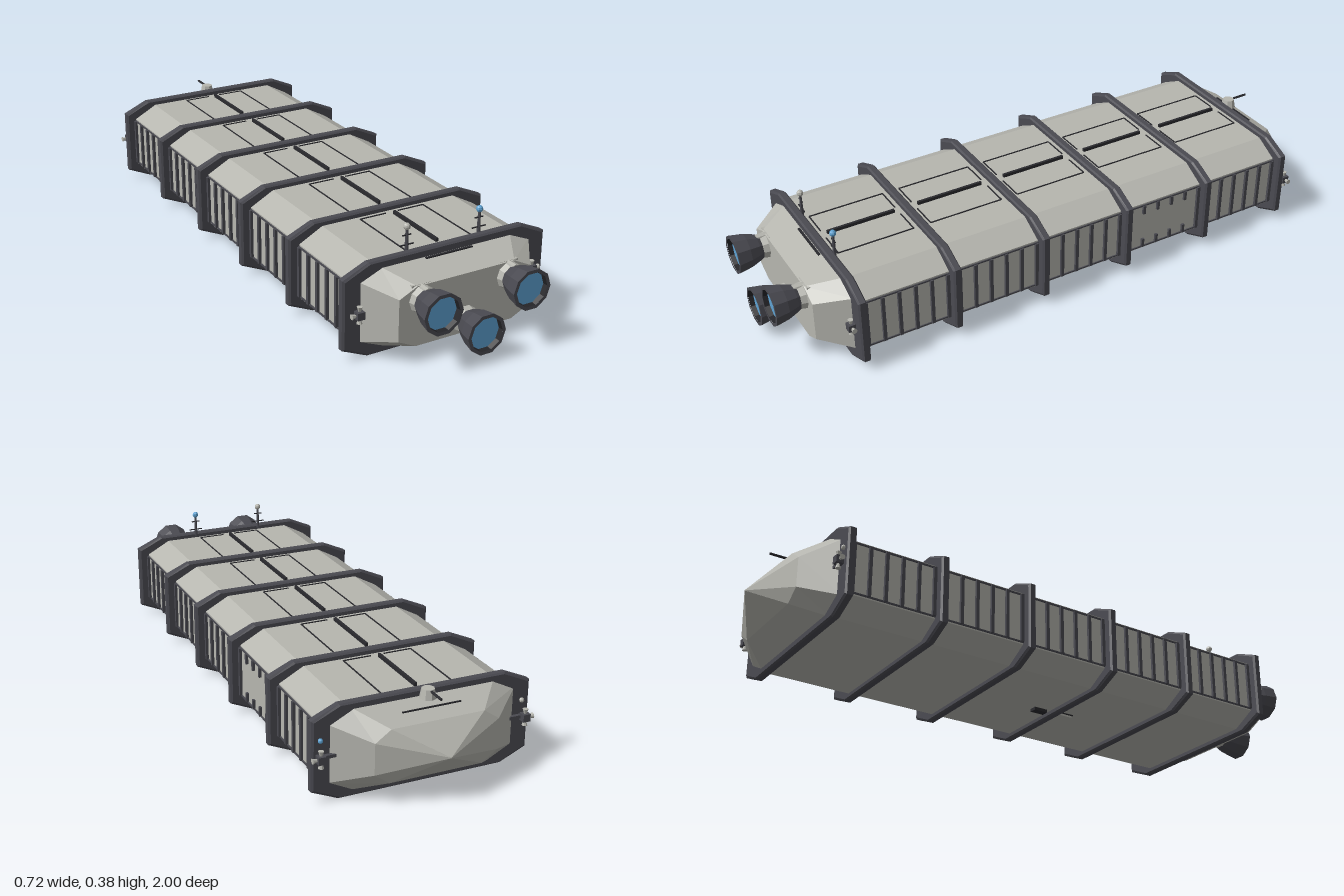
import * as THREE from 'three';

const mat = (name, color, extra = {}) => {
  const m = new THREE.MeshStandardMaterial({ color, flatShading: true, ...extra });
  m.name = name;
  return m;
};

export function createModel() {
  const root = new THREE.Group();
  root.name = 'cargoSpacecraft';
  const hullGrey = mat('hull grey', 0xb6b6af);
  const frameDark = mat('frame dark', 0x4a4a51);
  const lineBlack = mat('line black', 0x2a2a2e);
  const bellInside = mat('bell inside', 0x242428, { side: THREE.DoubleSide });
  const glowBlue = mat('glow blue', 0x5ea2d2);

  const add = (name, geo, material, x = 0, y = 0, z = 0, parent = root) => {
    const m = new THREE.Mesh(geo, material);
    m.name = name;
    m.position.set(x, y, z);
    parent.add(m);
    return m;
  };
  const box = (name, material, w, h, d, x, y, z, parent) =>
    add(name, new THREE.BoxGeometry(w, h, d), material, x, y, z, parent);

  // Chamfered cross-section: half width, half roof width, half height, half side height
  const section = (z, hw, rw, hh, sh, cy = 0.15) =>
    [[hw, -sh], [hw, sh], [rw, hh], [-rw, hh], [-hw, sh], [-hw, -sh], [-rw, -hh], [rw, -hh]]
      .map(([x, y]) => [x, cy + y, z]);

  // Faceted skin over sections ordered by rising z, closed at both ends
  const loft = (sections) => {
    const pos = [];
    const tri = (a, b, c) => pos.push(...a, ...b, ...c);
    const n = sections[0].length;
    for (let s = 0; s + 1 < sections.length; s++) {
      for (let i = 0; i < n; i++) {
        const j = (i + 1) % n, p = sections[s], q = sections[s + 1];
        tri(p[i], p[j], q[j]);
        tri(p[i], q[j], q[i]);
      }
    }
    const first = sections[0], last = sections[sections.length - 1];
    for (let i = 1; i + 1 < n; i++) {
      tri(first[0], first[i + 1], first[i]);
      tri(last[0], last[i], last[i + 1]);
    }
    const g = new THREE.BufferGeometry();
    g.setAttribute('position', new THREE.Float32BufferAttribute(pos, 3));
    g.computeVertexNormals();
    return g;
  };

  // Main body, pointed nose and tapered engine end
  add('hull', loft([section(-0.82, 0.32, 0.24, 0.133, 0.09), section(0.78, 0.32, 0.24, 0.133, 0.09)]), hullGrey);
  add('nose', loft([
    section(-1, 0.001, 0.0008, 0.001, 0.0006, 0.155),
    section(-0.92, 0.2, 0.15, 0.085, 0.05, 0.153),
    section(-0.825, 0.31, 0.235, 0.133, 0.095)]), hullGrey);
  add('engineBlock', loft([
    section(0.785, 0.303, 0.23, 0.128, 0.097),
    section(0.89, 0.23, 0.17, 0.096, 0.067)]), hullGrey);

  // Ring frames with bevelled rims
  const frames = [-0.82, -0.502, -0.182, 0.138, 0.458, 0.778];
  for (const z of frames) {
    add('ringFrame', loft([
      section(z - 0.014, 0.349, 0.266, 0.145, 0.107),
      section(z - 0.009, 0.356, 0.27, 0.15, 0.112),
      section(z + 0.009, 0.356, 0.27, 0.15, 0.112),
      section(z + 0.014, 0.349, 0.266, 0.145, 0.107)]), frameDark);
  }

  // Roof hatches and side ribs in every bay
  for (let b = 0; b < 5; b++) {
    const z0 = frames[b] + 0.014, z1 = frames[b + 1] - 0.014, zc = (z0 + z1) / 2;
    const bay = new THREE.Group();
    bay.name = 'bay';
    root.add(bay);
    box('roofSpine', lineBlack, 0.009, 0.014, 0.235, 0, 0.287, zc, bay);
    for (const s of [-1, 1]) {
      box('hatchSeam', lineBlack, 0.004, 0.003, 0.26, s * 0.115, 0.284, zc, bay);
      for (const e of [-1, 1]) {
        box('hatchEnd', lineBlack, 0.093, 0.003, 0.004, s * 0.0685, 0.284, zc + e * 0.13, bay);
        box('sideRail', frameDark, 0.006, 0.005, z1 - z0, s * 0.321, 0.15 + e * 0.083, zc, bay);
      }
      for (let i = 0; i < 6; i++) {
        const z = z0 + 0.007 + (i / 5) * (z1 - z0 - 0.014);
        if (b === 1 && s === 1 && i > 0 && i < 5) {
          // Wide loading door: only short rib ends remain
          for (const y of [0.083, 0.217]) box('ribEnd', frameDark, 0.012, 0.032, 0.01, 0.322, y, z, bay);
        } else {
          box('sideRib', frameDark, 0.014, 0.166, 0.011, s * 0.322, 0.15, z, bay);
        }
      }
    }
  }

  // Three engines, each with collar, feed pipe, bell and glowing disc
  const alongZ = (rFront, rBack, len, sides = 10, open = false) =>
    new THREE.CylinderGeometry(rFront, rBack, len, sides, 1, open).rotateY(Math.PI / 2).rotateX(Math.PI / 2);
  for (const [x, y] of [[-0.153, 0.202], [0.153, 0.202], [0, 0.098]]) {
    const engine = new THREE.Group();
    engine.name = 'engine';
    engine.position.set(x, y, 0);
    root.add(engine);
    add('collar', alongZ(0.04, 0.046, 0.03), hullGrey, 0, 0, 0.895, engine);
    const profile = [[0.034, 0.9], [0.045, 0.92], [0.058, 0.955], [0.066, 1], [0.055, 1]];
    const bell = new THREE.LatheGeometry(profile.map(([r, z]) => new THREE.Vector2(r, z)), 10);
    add('bell', bell.rotateY(Math.PI / 2).rotateX(Math.PI / 2), frameDark, 0, 0, 0, engine);
    add('bellLining', alongZ(0.056, 0.053, 0.02, 10, true), bellInside, 0, 0, 0.989, engine);
    add('glow', alongZ(0.054, 0.054, 0.004), glowBlue, 0, 0, 0.981, engine);
    if (x) {
      add('feedPipe', alongZ(0.013, 0.013, 0.05, 8), hullGrey, 0, 0.034, 0.895, engine);
      box('pipeClamp', hullGrey, 0.066, 0.012, 0.012, 0, 0.04, 0.88, engine);
    }
  }
  box('engineBlockStrip', lineBlack, 0.165, 0.005, 0.008, 0, 0.274, 0.798);

  // Pair of masts at the engine end
  for (const s of [-1, 1]) {
    const mast = new THREE.Group();
    mast.name = 'mast';
    mast.position.set(s * 0.128, 0, 0.765);
    root.add(mast);
    add('pole', new THREE.CylinderGeometry(0.004, 0.006, 0.08, 6), frameDark, 0, 0.33, 0, mast);
    box('lowerCrossbar', lineBlack, 0.05, 0.003, 0.004, 0, 0.315, 0, mast);
    box('upperCrossbar', lineBlack, 0.03, 0.003, 0.004, 0, 0.346, 0, mast);
    add('beacon', new THREE.SphereGeometry(0.011, 8, 6), s > 0 ? glowBlue : hullGrey, 0, 0.373, 0, mast);
  }

  // Sideways thruster clusters at both ends
  for (const s of [-1, 1]) {
    for (const [x, z] of [[0.307, 0.803], [0.335, -0.853]]) {
      const cluster = new THREE.Group();
      cluster.name = 'thrusterCluster';
      cluster.position.set(s * x, 0.15, z);
      root.add(cluster);
      box('thrusterBlock', frameDark, 0.024, 0.024, 0.024, 0, 0, 0, cluster);
      for (const a of [0, Math.PI, -s * Math.PI / 2]) {
        const nozzle = new THREE.CylinderGeometry(0.009, 0.004, 0.016, 8).translate(0, 0.019, 0).rotateZ(a);
        add('thrusterNozzle', nozzle, hullGrey, 0, 0, 0, cluster);
      }
      if (z < 0) box('thrusterArm', frameDark, 0.05, 0.01, 0.012, -s * 0.03, 0, 0.012, cluster);
    }
    add('sideLight', new THREE.SphereGeometry(0.008, 8, 6), s > 0 ? glowBlue : hullGrey, s * 0.33, 0.2, -0.837);
  }

  // Sensor turret above the nose
  add('turretBase', new THREE.CylinderGeometry(0.02, 0.026, 0.03, 8), hullGrey, 0, 0.294, -0.853);
  add('sensorBoom', alongZ(0.004, 0.004, 0.075, 6), lineBlack, 0, 0.305, -0.893);
  box('noseStrip', lineBlack, 0.19, 0.004, 0.004, 0, 0.2605, -0.878);

  // Belly fittings
  box('bellyHatch', hullGrey, 0.04, 0.012, 0.055, 0, 0.013, 0.18);
  box('bellyHatchRim', lineBlack, 0.046, 0.004, 0.061, 0, 0.0155, 0.18);
  box('bellyPort', lineBlack, 0.026, 0.012, 0.05, 0, 0.013, 0.085);

  return root;
}
